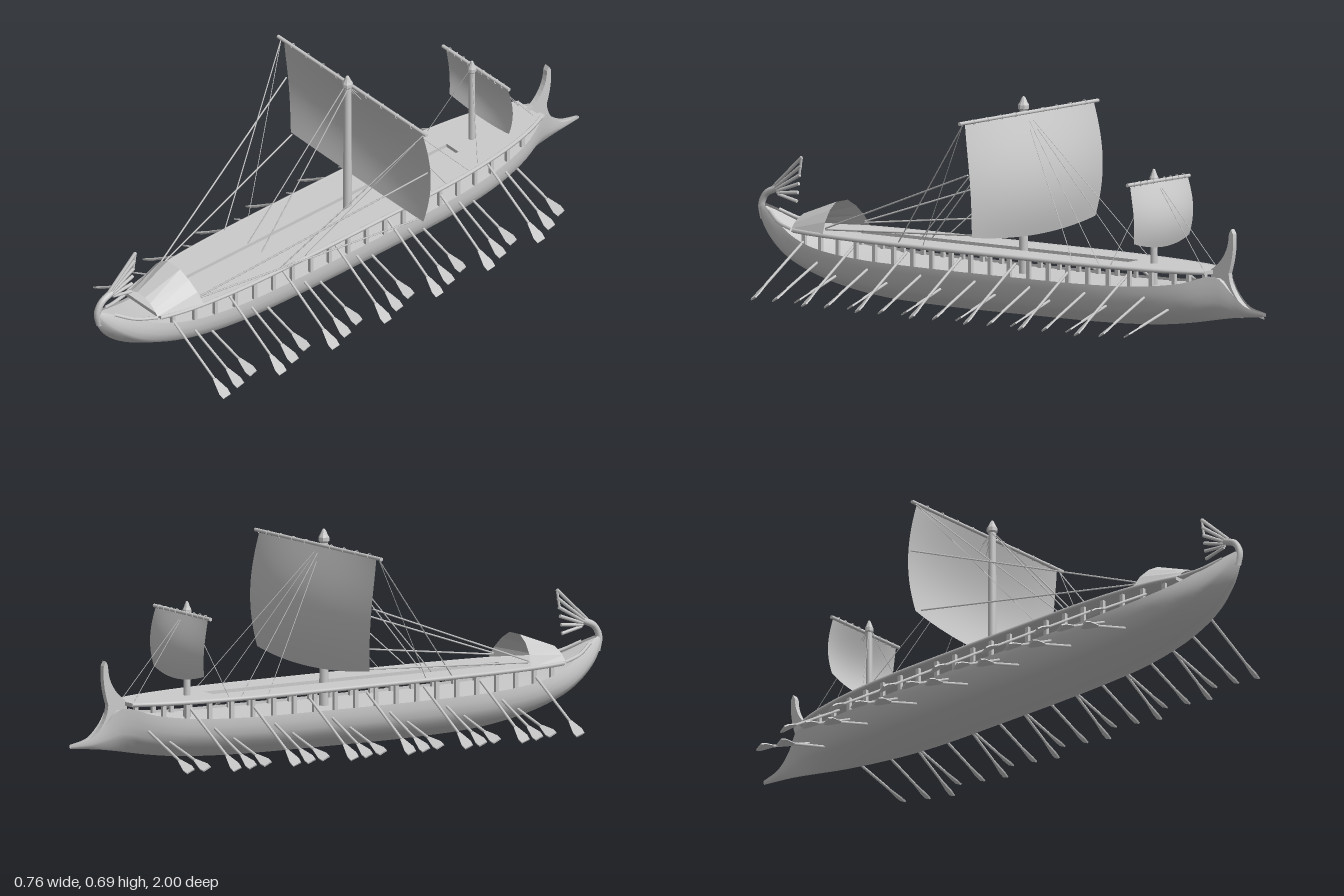
import * as THREE from 'three';

const V = (x, y, z) => new THREE.Vector3(x, y, z);
const grey = new THREE.MeshStandardMaterial({ color: 0xcccccc });
const thin = new THREE.MeshStandardMaterial({ color: 0xcccccc, side: THREE.DoubleSide });
const flat = new THREE.MeshStandardMaterial({ color: 0xcccccc, side: THREE.DoubleSide, flatShading: true });

function add(parent, name, geometry, material = grey) {
  const mesh = new THREE.Mesh(geometry, material);
  mesh.name = name;
  parent.add(mesh);
  return mesh;
}

// Straight round bar between two points
function rod(parent, name, a, b, r0, r1 = r0, sides = 8) {
  const d = b.clone().sub(a);
  const mesh = add(parent, name, new THREE.CylinderGeometry(r1, r0, d.length(), sides));
  mesh.position.copy(a).add(b).multiplyScalar(0.5);
  mesh.quaternion.setFromUnitVectors(V(0, 1, 0), d.normalize());
  return mesh;
}

// Surface through rows of points
function loft(rows) {
  const n = rows[0].length, index = [];
  for (let i = 0; i < rows.length - 1; i++)
    for (let j = 0; j < n - 1; j++) {
      const a = i * n + j, b = a + n;
      index.push(a, a + 1, b, a + 1, b + 1, b);
    }
  const g = new THREE.BufferGeometry().setFromPoints(rows.flat());
  g.setIndex(index);
  g.computeVertexNormals();
  return g;
}

// Hull stations, ram to stern: keel z, keel y, gunwale z, gunwale y, half width
const stations = [
  [-1, 0.073, -1, 0.085, 0.003], [-0.93, 0.066, -0.93, 0.1, 0.012], [-0.88, 0.06, -0.88, 0.14, 0.02],
  [-0.82, 0.05, -0.83, 0.19, 0.04], [-0.72, 0.032, -0.73, 0.165, 0.082], [-0.6, 0.016, -0.6, 0.148, 0.113],
  [-0.4, 0.004, -0.4, 0.14, 0.136], [-0.1, 0, -0.1, 0.138, 0.141], [0.3, 0, 0.3, 0.138, 0.141],
  [0.55, 0.012, 0.52, 0.142, 0.134], [0.75, 0.05, 0.7, 0.158, 0.113], [0.88, 0.1, 0.81, 0.185, 0.083],
  [0.96, 0.165, 0.89, 0.22, 0.05], [0.993, 0.22, 0.945, 0.248, 0.024], [1, 0.255, 0.978, 0.262, 0.009],
];
const keel = new THREE.CatmullRomCurve3(stations.map(s => V(0, s[1], s[0])));
const gunwale = new THREE.CatmullRomCurve3(stations.map(s => V(s[4], s[3], s[2])));
const STEPS = 56;
const keelPts = [], gunPts = [];
for (let i = 0; i <= STEPS; i++) {
  keelPts.push(keel.getPoint(i / STEPS));
  gunPts.push(gunwale.getPoint(i / STEPS));
}

// Point on the gunwale at a given z
function gunAt(z) {
  const i = Math.max(1, gunPts.findIndex(p => p.z >= z));
  const a = gunPts[i - 1], b = gunPts[i];
  return a.clone().lerp(b, (z - a.z) / (b.z - a.z));
}

function buildHull(ship) {
  const half = [[1, 1], [1, 0.82], [0.96, 0.62], [0.87, 0.42], [0.72, 0.29], [0.4, 0.14], [0.12, 0.03], [0, 0]];
  const section = [...half, ...half.slice(0, -1).reverse().map(([x, h]) => [-x, h])];
  add(ship, 'hull', loft(keelPts.map((k, i) => section.map(([x, h]) => {
    const p = k.clone().lerp(gunPts[i], h);
    p.x = gunPts[i].x * x;
    return p;
  }))), thin);
  add(ship, 'holdFloor', loft(gunPts.map(p => [-1, 1].map(s => V(s * p.x * 0.97, p.y - 0.008, p.z)))), thin);

  // Curved stem post above the ram
  const s = new THREE.Shape();
  s.moveTo(0.93, 0.09);
  s.quadraticCurveTo(0.865, 0.14, 0.862, 0.2);
  s.quadraticCurveTo(0.885, 0.27, 0.879, 0.325);
  s.lineTo(0.871, 0.34);
  s.lineTo(0.863, 0.325);
  s.quadraticCurveTo(0.862, 0.25, 0.79, 0.205);
  s.lineTo(0.8, 0.1);
  const g = new THREE.ExtrudeGeometry(s, { depth: 0.018, bevelEnabled: false, curveSegments: 8 });
  g.translate(0, 0, -0.009).rotateY(Math.PI / 2);
  add(ship, 'stemPost', g);

  // Curled stern post with its fan of slats
  const curl = new THREE.CatmullRomCurve3([V(0, 0.215, 0.982), V(0, 0.26, 0.99), V(0, 0.295, 0.972), V(0, 0.315, 0.93)]);
  add(ship, 'sternCurl', new THREE.TubeGeometry(curl, 16, 0.011, 8));
  for (let i = 0; i < 6; i++) {
    const t = i / 5;
    rod(ship, 'sternSlat', V(0, 0.318 - 0.022 * t, 0.945 - 0.02 * t), V(0, 0.42 - 0.14 * t, 0.832 + 0.018 * t), 0.005, 0.006, 6);
  }
  rod(ship, 'sternFanRim', V(0, 0.42, 0.832), V(0, 0.36, 0.842), 0.004);
}

function buildDeck(ship) {
  // Raised deck with a slot along the middle
  const zs = [];
  for (let z = -0.8; z < 0.83; z += 0.04) zs.push(z);
  const edge = zs.map(z => new THREE.Vector2(gunAt(z).x * 0.98, -z));
  const shape = new THREE.Shape([...edge, ...edge.map(p => new THREE.Vector2(-p.x, p.y)).reverse()]);
  const slot = [[-0.028, -0.62], [0.028, -0.62], [0.028, 0.48], [-0.028, 0.48]];
  shape.holes.push(new THREE.Path(slot.map(p => new THREE.Vector2(...p))));
  const g = new THREE.ExtrudeGeometry(shape, { depth: 0.012, bevelEnabled: false });
  g.rotateX(-Math.PI / 2).translate(0, 0.194, 0);
  add(ship, 'deck', g);

  for (const s of [-1, 1]) {
    // Posts carrying the deck
    for (let i = 0; i < 20; i++) {
      const z = -0.7 + i * 0.0765, p = gunAt(z), h = 0.2 - p.y + 0.012;
      const post = add(ship, 'deckPost', new THREE.BoxGeometry(0.011, h, 0.013));
      post.position.set(s * (p.x - 0.013), 0.2 - h / 2, z);
    }
    // Edge rail and its sweep up to the stern
    const rail = zs.map(z => V(s * gunAt(z).x * 0.98, 0.201, z));
    add(ship, 'deckRail', new THREE.TubeGeometry(new THREE.CatmullRomCurve3(rail), 60, 0.007, 6));
    const sweep = new THREE.CatmullRomCurve3([V(s * 0.08, 0.203, 0.81), V(s * 0.055, 0.217, 0.88), V(s * 0.024, 0.245, 0.94)]);
    add(ship, 'sternRail', new THREE.TubeGeometry(sweep, 12, 0.006, 6));
  }

  // Faceted canopy at the stern
  const half = [[1, 0], [0.82, 0.4], [0.55, 0.76], [0.24, 1]];
  const arch = [...half, ...half.map(([x, h]) => [-x, h]).reverse()];
  const ring = (z, lean, w, y, h) => arch.map(([x, t]) => V(x * w, y + h * t, z + lean * t));
  add(ship, 'canopy', loft([ring(0.655, 0.018, 0.122, 0.205, 0.092), ring(0.81, 0, 0.08, 0.207, 0.04)]).toNonIndexed(), flat);
}

function buildOars(ship) {
  const tiers = [{ x: 0.045, y: 0.085, tip: 0.318 }, { x: 0.03, y: 0.125, tip: 0.346 }, { x: 0.022, y: 0.178, tip: 0.373 }];
  const blade = new THREE.Shape([[-0.005, 0], [0.005, 0], [0.016, 0.05], [0.014, 0.07], [-0.014, 0.07], [-0.016, 0.05]]
    .map(p => new THREE.Vector2(...p)));
  const bladeGeo = new THREE.ExtrudeGeometry(blade, { depth: 0.005, bevelEnabled: false }).translate(0, 0, -0.0025);
  bladeGeo.rotateY(0.5);
  for (const s of [-1, 1])
    for (let k = 0; k < 21; k++) {
      const z = (s < 0 ? -0.75 : -0.677) + k * 0.0716;
      const tier = tiers[s < 0 ? [1, 0, 2][k % 3] : k % 3];
      const w = gunAt(z).x;
      const a = V(s * (w - tier.x), tier.y, z);
      const tip = V(s * (tier.tip - (0.141 - w) * 0.6), 0.019, z);
      const d = tip.clone().sub(a).normalize();
      const neck = tip.clone().addScaledVector(d, -0.07);
      rod(ship, 'oarShaft', a, neck, 0.0045, 0.0045, 6);
      const m = add(ship, 'oarBlade', bladeGeo);
      const side = V(0, 0, 1);
      m.quaternion.setFromRotationMatrix(new THREE.Matrix4().makeBasis(side, d, side.clone().cross(d)));
      m.position.copy(neck);
    }
}

// Mast with cap, yard, rings and a billowing square sail
function buildRig(ship, name, z, top, r, span, foot, depth) {
  const rig = new THREE.Group();
  rig.name = name;
  ship.add(rig);
  rod(rig, 'mast', V(0, 0.12, z), V(0, top - 0.04, z), r, r * 0.8, 12);
  const cap = [[0, -0.045], [0.9, -0.045], [1.15, -0.04], [1.15, -0.028], [0.85, -0.02], [0.35, -0.004], [0, 0]];
  const capMesh = add(rig, 'mastCap', new THREE.LatheGeometry(cap.map(([x, y]) => new THREE.Vector2(x * r, y)), 8), flat);
  capMesh.position.set(0, top, z);
  const yardY = top - 0.05 * (top / 0.69), yardZ = z - r - 0.005;
  rod(rig, 'yard', V(-span * 1.06, yardY - 0.002, yardZ), V(span * 1.06, yardY + 0.002, yardZ), 0.006);
  for (const s of [-1, 1])
    for (let i = 1; i <= 4; i++) {
      const ring = add(rig, 'sailRing', new THREE.TorusGeometry(0.0075, 0.0015, 6, 10));
      ring.rotation.y = Math.PI / 2;
      ring.position.set(s * i * span * 0.213, yardY, yardZ);
    }
  const sail = new THREE.PlaneGeometry(2, 1, 20, 14), p = sail.attributes.position;
  for (let i = 0; i < p.count; i++) {
    const u = p.getX(i), w = 0.5 - p.getY(i);
    const bottom = foot + 0.022 * u * u;
    p.setXYZ(i, u * span * (0.985 + 0.16 * w - 0.2 * w * w), THREE.MathUtils.lerp(yardY - 0.004, bottom, w),
      yardZ - 0.003 - depth * Math.sin(Math.PI * w * 0.8) * (0.5 + 0.5 * (1 - u * u)));
  }
  sail.computeVertexNormals();
  add(rig, 'sail', sail, thin);
}

function buildRopes(ship) {
  const rope = (a, b, r = 0.0012) => rod(ship, 'rope', V(...a), V(...b), r, r, 5);
  for (const s of [-1, 1]) {
    // Braces and sheets running aft to the canopy
    rope([s * 0.338, 0.48, -0.085], [s * 0.1, 0.222, 0.66], 0.0028);
    rope([s * 0.3, 0.285, -0.075], [s * 0.1, 0.218, 0.66], 0.0028);
    // Yard lifts
    rope([s * 0.34, 0.635, -0.065], [s * 0.132, 0.205, 0.35], 0.002);
    rope([s * 0.34, 0.635, -0.065], [s * 0.134, 0.205, 0.25]);
    // Mast stays
    rope([s * 0.008, 0.65, -0.045], [s * 0.032, 0.205, 0.34], 0.002);
    rope([0, 0.65, -0.045], [s * 0.13, 0.205, -0.34]);
    rope([0, 0.65, -0.045], [s * 0.125, 0.205, -0.44]);
    rope([0, 0.48, -0.56], [s * 0.12, 0.205, -0.48]);
    rope([0, 0.48, -0.56], [s * 0.035, 0.205, -0.785]);
  }
}

export function createModel() {
  const ship = new THREE.Group();
  ship.name = 'galley';
  buildHull(ship);
  buildDeck(ship);
  buildOars(ship);
  buildRig(ship, 'mainRig', -0.045, 0.69, 0.015, 0.335, 0.258, 0.057);
  buildRig(ship, 'foreRig', -0.56, 0.505, 0.012, 0.15, 0.262, 0.036);
  buildRopes(ship);
  return ship;
}
